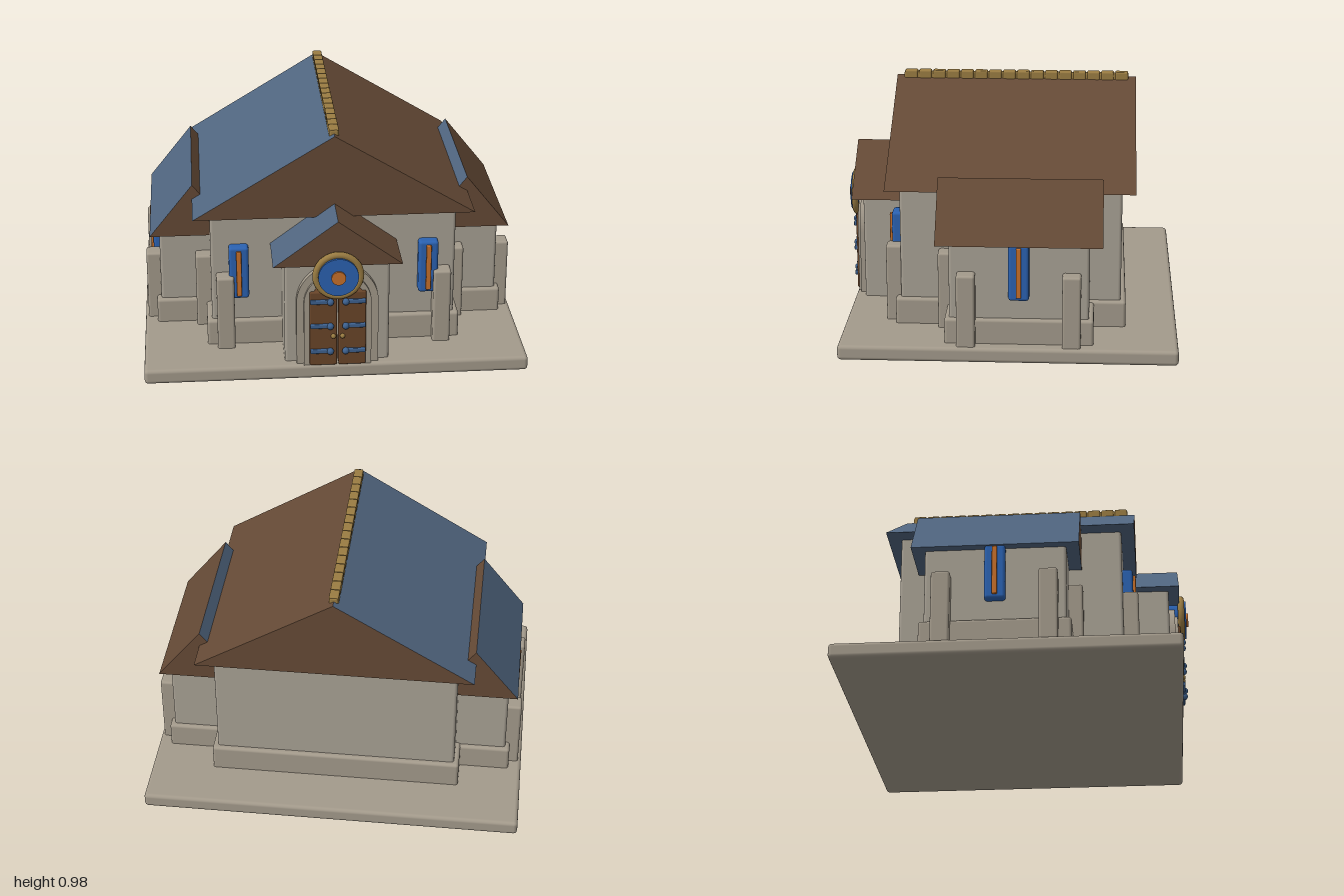
import * as THREE from 'three';
import { RoundedBoxGeometry } from 'three/addons/geometries/RoundedBoxGeometry.js';

const mat = (name, color) => {
  const m = new THREE.MeshStandardMaterial({ color });
  m.name = name;
  return m;
};

export function createModel() {
  const wallStone = mat('wallStone', 0xa8a194);
  const trimStone = mat('trimStone', 0xa39a8b);
  const roofBlue = mat('roofBlue', 0x50657f);
  const timber = mat('timber', 0x654a36);
  const gold = mat('gold', 0x9a7c42);
  const glassBlue = mat('glassBlue', 0x2b62b2);
  const amber = mat('amber', 0xc8702a);
  const doorWood = mat('doorWood', 0x6a4529);
  const hingeBlue = mat('hingeBlue', 0x3d618f);

  // the hall is laid out square, then turned 45 degrees on the site
  const hall = new THREE.Group();
  hall.name = 'hall';
  hall.rotation.y = -Math.PI / 4;

  const add = (name, geometry, material, x = 0, y = 0, z = 0) => {
    const mesh = new THREE.Mesh(geometry, material);
    mesh.name = name;
    mesh.position.set(x, y, z);
    hall.add(mesh);
    return mesh;
  };

  // softened block given by its limits
  const block = (name, material, [x0, x1], [y0, y1], [z0, z1], r = 0.01) =>
    add(name, new RoundedBoxGeometry(x1 - x0, y1 - y0, z1 - z0, 2, r), material,
      (x0 + x1) / 2, (y0 + y1) / 2, (z0 + z1) / 2);

  // gabled roof with its ridge along z: timber ends and soffit, blue slopes
  const gableRoof = (name, x, half, y0, y1, z0, z1) => {
    const s = new THREE.Shape();
    s.moveTo(-half, 0);
    s.lineTo(half, 0);
    s.lineTo(0, y1 - y0);
    s.closePath();
    const g = new THREE.ExtrudeGeometry(s, { depth: z1 - z0, bevelEnabled: false });
    g.clearGroups();
    [0, 1, 0, 1].forEach((m, i) => g.addGroup(i * 6, 6, m));
    return add(name, g, [timber, roofBlue], x, y0, z0);
  };

  // plinth and main hall
  block('plinth', trimStone, [-0.757, 0.757], [0, 0.06], [-0.657, 0.657], 0.015);
  block('mainWalls', wallStone, [-0.485, 0.485], [0.05, 0.64], [-0.435, 0.435], 0.012);
  block('mainBaseCourse', trimStone, [-0.505, 0.505], [0.05, 0.165], [-0.455, 0.455], 0.012);
  gableRoof('mainRoof', 0, 0.552, 0.62, 0.955, -0.487, 0.487);

  // ridge cap with a row of low tiles
  block('ridgeCap', gold, [-0.016, 0.016], [0.935, 0.969], [-0.458, 0.458], 0.006);
  const tiles = 16, pitch = 0.916 / tiles;
  for (let i = 0; i < tiles; i++) {
    const z = -0.458 + i * pitch;
    block('ridgeTile', gold, [-0.019, 0.019], [0.94, 0.975], [z + 0.003, z + pitch - 0.003], 0.006);
  }

  // side wings, mirrored, with buttresses and a lancet window each
  for (const s of [-1, 1]) {
    const span = (a, b) => (s > 0 ? [a, b] : [-b, -a]);
    block('wingWalls', wallStone, span(0.4, 0.688), [0.05, 0.48], [-0.312, 0.228], 0.012);
    block('wingBaseCourse', trimStone, span(0.4, 0.706), [0.05, 0.16], [-0.33, 0.246], 0.012);
    gableRoof('wingRoof', s * 0.55, 0.175, 0.46, 0.68, -0.362, 0.278);
    for (const z of [-0.245, 0.161])
      block('wingButtress', trimStone, span(0.68, 0.744), [0.05, 0.348], [z - 0.036, z + 0.036]);
    block('wingWindow', glassBlue, span(0.67, 0.718), [0.24, 0.465], [-0.082, -0.002], 0.012);
    block('wingWindowBar', amber, span(0.70, 0.728), [0.255, 0.455], [-0.052, -0.032], 0.004);

    // buttresses and windows of the main hall
    block('sideButtress', trimStone, span(0.47, 0.545), [0.05, 0.37], [0.213, 0.283]);
    block('frontButtress', trimStone, span(0.395, 0.465), [0.05, 0.37], [0.42, 0.495]);
    block('frontWindow', glassBlue, span(0.336, 0.414), [0.27, 0.492], [0.42, 0.475], 0.012);
    block('frontWindowBar', amber, span(0.365, 0.385), [0.285, 0.478], [0.46, 0.486], 0.004);
  }

  // entrance porch
  block('porchWalls', wallStone, [-0.205, 0.205], [0.05, 0.51], [0.4, 0.615], 0.012);
  gableRoof('porchRoof', 0, 0.25, 0.49, 0.675, 0.4, 0.657);

  // stepped stone arch around the door
  const arch = (name, outer, inner, spring, z0, z1) => {
    const s = new THREE.Shape();
    s.moveTo(-outer, 0);
    s.lineTo(-inner, 0);
    s.lineTo(-inner, spring);
    s.absarc(0, spring, inner, Math.PI, 0, true);
    s.lineTo(inner, 0);
    s.lineTo(outer, 0);
    s.lineTo(outer, spring);
    s.absarc(0, spring, outer, 0, Math.PI, false);
    s.closePath();
    add(name, new THREE.ExtrudeGeometry(s, { depth: z1 - z0, bevelEnabled: false, curveSegments: 20 }),
      trimStone, 0, 0.055, z0);
  };
  arch('outerArch', 0.16, 0.13, 0.27, 0.6, 0.638);
  arch('innerArch', 0.132, 0.108, 0.27, 0.6, 0.65);

  // double door with strap hinges and pull knobs
  for (const s of [-1, 1]) {
    const span = (a, b) => (s > 0 ? [a, b] : [-b, -a]);
    block('doorLeaf', doorWood, span(0.003, 0.11), [0.06, 0.38], [0.6, 0.66], 0.006);
    for (const y of [0.125, 0.235, 0.34]) {
      block('strapHinge', hingeBlue, span(0.025, 0.108), [y - 0.009, y + 0.009], [0.65, 0.67], 0.004);
      add('hingeStud', new THREE.SphereGeometry(0.014, 10, 8), hingeBlue, s * 0.03, y, 0.667);
    }
    add('doorKnob', new THREE.SphereGeometry(0.01, 10, 8), gold, s * 0.018, 0.19, 0.664);
  }

  // round window above the door
  const disc = (name, r, z0, z1, material) => {
    const g = new THREE.CylinderGeometry(r, r, z1 - z0, 32).rotateX(Math.PI / 2);
    add(name, g, material, 0, 0.453, (z0 + z1) / 2);
  };
  add('roundWindowRing', new THREE.TorusGeometry(0.086, 0.014, 10, 36), gold, 0, 0.453, 0.665);
  disc('roundWindowGlass', 0.078, 0.6, 0.685, glassBlue);
  disc('roundWindowBoss', 0.028, 0.68, 0.694, amber);

  const model = new THREE.Group();
  model.name = 'stoneHall';
  model.add(hall);
  return model;
}
